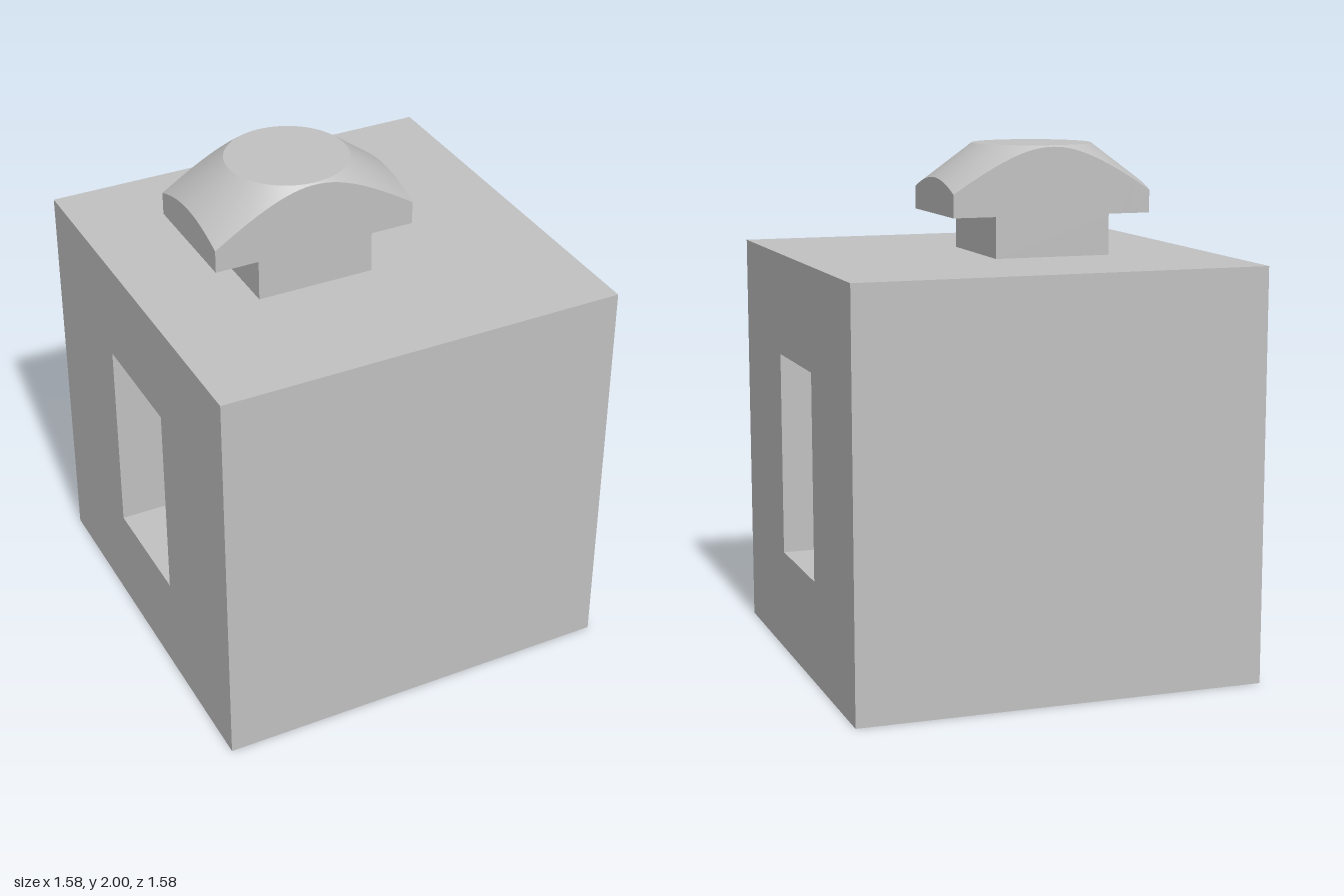
import * as THREE from 'three';
import { mergeGeometries } from 'three/addons/utils/BufferGeometryUtils.js';

const H = 0.79;                      // half side of the cube
const TZ = 0.237, T0 = 0.395, T1 = 1.187; // tunnel half width, floor, ceiling
const CX = -0.158;                   // centre of knob and slot along x
const SX = 0.2, SZ = 0.395;          // slot half sizes

const AXES = {
  x: [[0, 1, 0], [0, 0, 1], [1, 0, 0]],   // plane coordinates (y, z)
  y: [[0, 0, 1], [1, 0, 0], [0, 1, 0]],   // plane coordinates (z, x)
  z: [[1, 0, 0], [0, 1, 0], [0, 0, 1]],   // plane coordinates (x, y)
};

// Flat rectangle [a0, b0, a1, b1] at distance d along an axis, with an optional hole
function panel(axis, sign, d, rect, hole) {
  const corners = ([a0, b0, a1, b1]) =>
    [[a0, b0], [a1, b0], [a1, b1], [a0, b1]].map((p) => new THREE.Vector2(...p));
  const shape = new THREE.Shape(corners(rect));
  if (hole) shape.holes.push(new THREE.Path(corners(hole)));
  const geo = new THREE.ShapeGeometry(shape).translate(0, 0, d);
  const [u, v, n] = AXES[axis].map((a) => new THREE.Vector3(...a));
  geo.applyMatrix4(new THREE.Matrix4().makeBasis(u, v, n));
  if (sign < 0) geo.setIndex([...geo.index.array].reverse());
  geo.computeVertexNormals();
  return geo;
}

function bodyGeometry() {
  const x0 = CX - SX, x1 = CX + SX;
  const parts = [
    panel('y', 1, 2 * H, [-H, -H, H, H]),
    panel('y', -1, 0, [-H, -H, H, H], [-SZ, x0, SZ, x1]),
    // tunnel ceiling, and floor on both sides of the slot
    panel('y', -1, T1, [-TZ, -H, TZ, H]),
    panel('y', 1, T0, [-TZ, -H, TZ, x0]),
    panel('y', 1, T0, [-TZ, x1, TZ, H]),
  ];
  for (const s of [-1, 1]) {
    parts.push(
      panel('z', s, s * H, [-H, 0, H, 2 * H]),
      panel('x', s, s * H, [0, -H, 2 * H, H], [T0, -TZ, T1, TZ]),
      panel('z', -s, s * TZ, [-H, T0, H, T1]),
      // slot walls and the ledges above its ends
      panel('x', -s, CX + s * SX, [0, -SZ, T0, SZ]),
      panel('z', -s, s * SZ, [x0, 0, x1, T0]),
      panel('y', -1, T0, s > 0 ? [TZ, x0, SZ, x1] : [-SZ, x0, -TZ, x1]),
    );
  }
  return mergeGeometries(parts);
}

// Rectangular knob head whose top is cut by a cone around a flat disc
function headParts() {
  const hx = 0.395, hz = TZ, r = 0.23, top = 2, base = 1.737, slope = 0.76, n = 24;
  const c = Math.atan2(hz, hx);
  const stops = [-c, c, Math.PI - c, Math.PI + c, 2 * Math.PI - c];
  const inner = [], outer = [], lower = [];
  for (let side = 0; side < 4; side++) {
    for (let i = 0; i < n; i++) {
      const a = THREE.MathUtils.lerp(stops[side], stops[side + 1], i / n);
      const cs = Math.cos(a), sn = -Math.sin(a);
      const d = Math.min(hx / Math.abs(cs), hz / Math.abs(sn));
      inner.push([CX + r * cs, top, r * sn]);
      outer.push([CX + d * cs, top - slope * (d - r), d * sn]);
      lower.push([CX + d * cs, base, d * sn]);
    }
  }
  const N = 4 * n, coneIndex = [], wall = [], disc = [];
  for (let i = 0; i < N; i++) {
    const j = (i + 1) % N;
    coneIndex.push(i, N + i, N + j, i, N + j, j);
    wall.push(lower[i], lower[j], outer[j], lower[i], outer[j], outer[i]);
    disc.push([CX, top, 0], inner[i], inner[j]);
  }
  const make = (points, index) => {
    const geo = new THREE.BufferGeometry();
    geo.setAttribute('position', new THREE.Float32BufferAttribute(points.flat(), 3));
    if (index) geo.setIndex(index);
    geo.computeVertexNormals();
    return geo;
  };
  return {
    headBevel: make([...inner, ...outer], coneIndex),
    headSides: make(wall),
    headTop: make(disc),
    headUnderside: panel('y', -1, base, [-hz, CX - hx, hz, CX + hx]),
  };
}

export function createModel() {
  const grey = new THREE.MeshStandardMaterial({ color: 0xc0c0c0 });
  grey.name = 'light grey';
  const model = new THREE.Group();
  const add = (parent, name, geo) => {
    const mesh = new THREE.Mesh(geo, grey);
    mesh.name = name;
    parent.add(mesh);
  };

  add(model, 'cubeBody', bodyGeometry());

  // Connector knob on top
  const knob = new THREE.Group();
  knob.name = 'connectorKnob';
  const stemHeight = 1.737 - 2 * H;
  add(knob, 'stem', new THREE.BoxGeometry(0.456, stemHeight, 2 * TZ)
    .translate(CX, 2 * H + stemHeight / 2, 0));
  for (const [name, geo] of Object.entries(headParts())) add(knob, name, geo);
  model.add(knob);
  return model;
}
